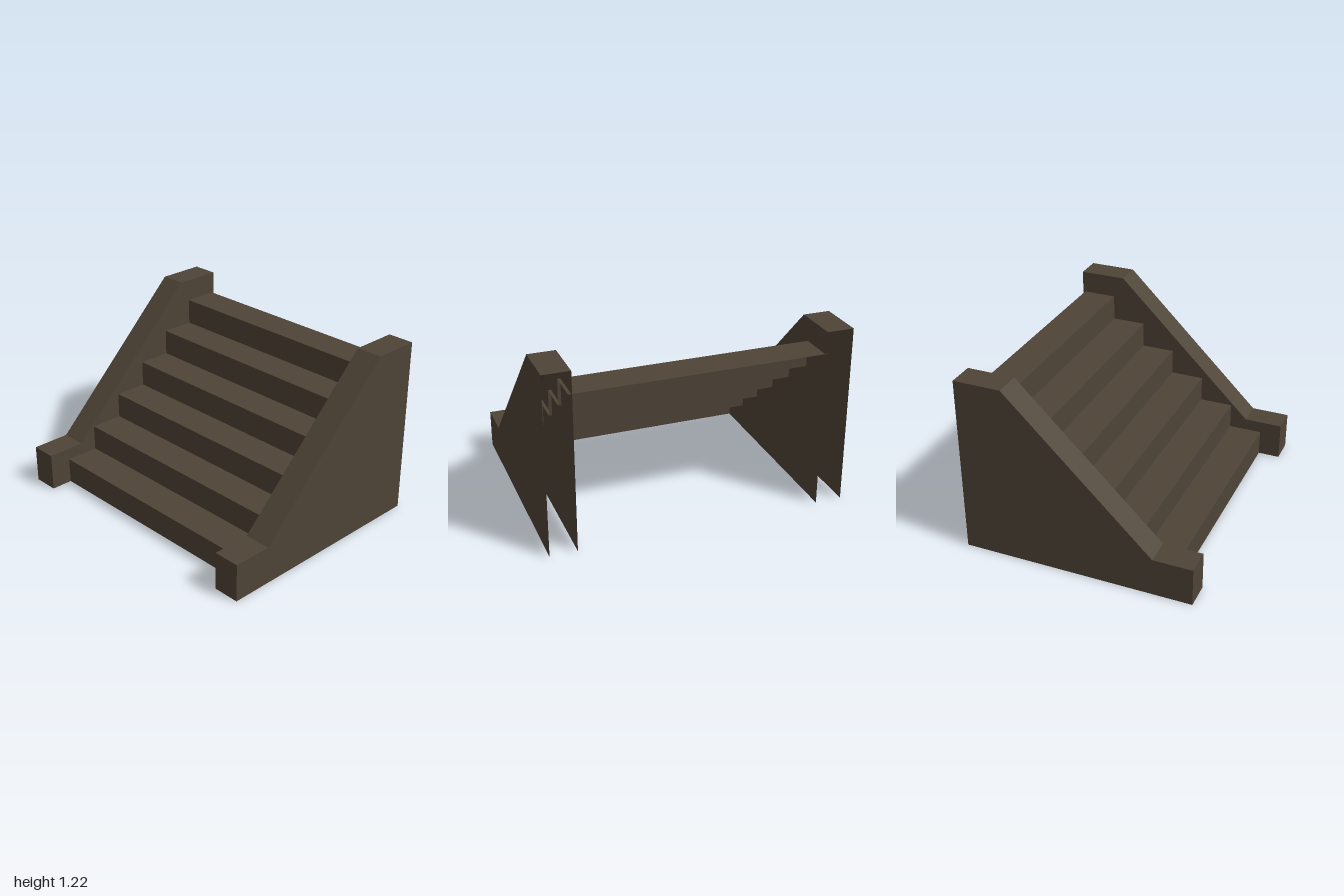
import * as THREE from 'three';

// Open sheet: a [z, y] profile swept straight across x, flat shaded
function sheet(profile, x0, x1) {
  const pos = [];
  for (let i = 0; i < profile.length - 1; i++) {
    const [za, ya] = profile[i], [zb, yb] = profile[i + 1];
    pos.push(x0, ya, za, x1, ya, za, x1, yb, zb);
    pos.push(x0, ya, za, x1, yb, zb, x0, yb, zb);
  }
  const g = new THREE.BufferGeometry();
  g.setAttribute('position', new THREE.Float32BufferAttribute(pos, 3));
  g.computeVertexNormals();
  return g;
}

// Flat side panel at x, facing +x (dir 1) or -x (dir -1)
function panel(profile, x, dir) {
  const shape = new THREE.Shape(profile.map(([z, y]) => new THREE.Vector2(-dir * z, y)));
  return new THREE.ShapeGeometry(shape).rotateY(dir * Math.PI / 2).translate(x, 0, 0);
}

export function createModel() {
  const group = new THREE.Group();
  const stone = new THREE.MeshStandardMaterial({ color: 0x4e4437, side: THREE.DoubleSide });
  stone.name = 'brown stone';
  const add = (parent, name, geometry) => {
    const mesh = new THREE.Mesh(geometry, stone);
    mesh.name = name;
    parent.add(mesh);
  };

  // Stairs: a folded sheet of six risers and treads, open underneath
  const count = 6, rise = 0.177, run = 0.2325, front = 0.63;
  const steps = [[front, 0]];
  for (let i = 0; i < count; i++) {
    steps.push([front - i * run, (i + 1) * rise]);
    steps.push([front - (i + 1) * run, (i + 1) * rise]);
  }
  add(group, 'steps', sheet(steps, -0.84, 0.84));

  // Side walls: hollow, open at the back and the bottom
  const wall = [[0.78, 0], [0.78, 0.26], [0.515, 0.26], [-0.46, 1.215], [-0.78, 1.215], [-0.78, 0]];
  const inner = 0.82, outer = 1;
  for (const [side, name] of [[1, 'leftWall'], [-1, 'rightWall']]) {
    const part = new THREE.Group();
    part.name = name;
    add(part, 'coping', sheet(wall.slice(0, 5), side > 0 ? inner : -outer, side > 0 ? outer : -inner));
    add(part, 'outerPanel', panel(wall, side * outer, side));
    add(part, 'innerPanel', panel(wall, side * inner, -side));
    group.add(part);
  }
  return group;
}
